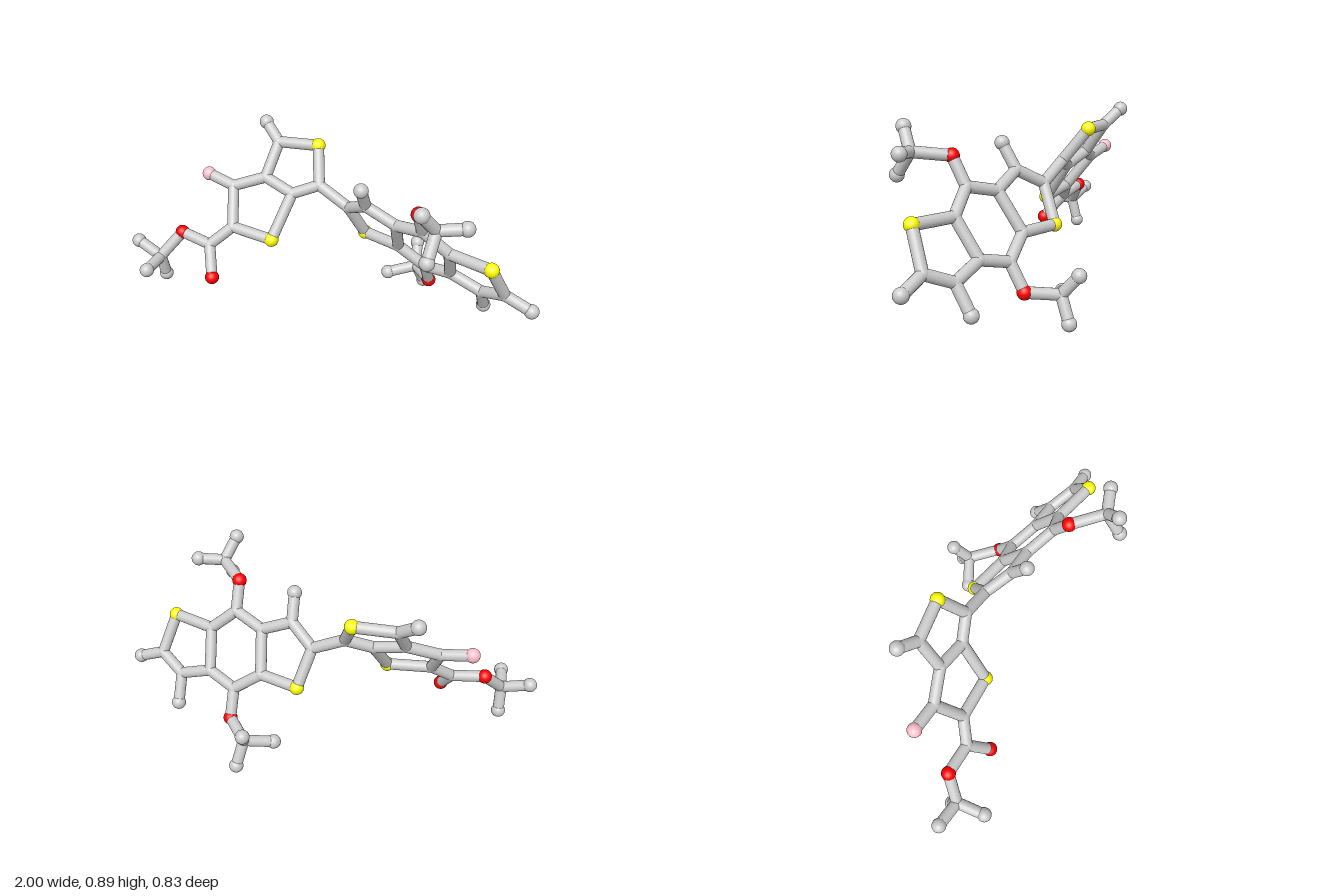
import * as THREE from 'three';

const BOND_R = 0.027, JOINT_R = 0.0285, BALL_R = 0.034;
const material = (color) => new THREE.MeshStandardMaterial({ color });
const GREY = material(0xcccccc);
const MATERIALS = { S: material(0xffff00), O: material(0xff0000), F: material(0xffc0cb) };

// The two fused ring systems are flat: depth follows from x and y
const planeA = (x, y) => -0.21 - 0.734 * (y - 0.795);
const planeB = (x, y) => -0.437 + 0.345 * x + 0.613 * y;
const flat = (plane, x, y) => [x, y, plane(x, y)];
const a = (x, y) => flat(planeA, x, y);
const b = (x, y) => flat(planeB, x, y);

// Each unit: named atoms (first letter gives the kind) and chains of bonded atoms
const UNITS = {
  twoRingUnit: {
    atoms: {
      C1: a(-0.53, 0.58), C2: a(-0.49, 0.42), S1: a(-0.28, 0.4), C3: a(-0.225, 0.59),
      C4: a(-0.375, 0.635), C5: a(-0.345, 0.78), S2: a(-0.145, 0.79), C6: a(-0.1, 0.64),
      F1: a(-0.67, 0.61), H1: a(-0.43, 0.85),
    },
    chains: ['F1 C1 C2 S1 C3 C4 C1', 'C4 C5 S2 C6 C3', 'C5 H1'],
  },
  esterArm: {
    atoms: {
      C7: a(-0.59, 0.335), O1: [-0.54, 0.213, 0.222], O2: [-0.745, 0.363, 0.11],
      C8: [-0.835, 0.25, 0.19], H2: [-0.966, 0.298, 0.165],
      H3: [-0.835, 0.128, 0.158], H4: [-0.833, 0.253, 0.328],
    },
    chains: ['C2 C7 O1', 'C7 O2 C8 H2', 'H3 C8 H4'],
  },
  threeRingUnit: {
    atoms: {
      C9: b(0.055, 0.56), C10: b(0.165, 0.635), C11: b(0.315, 0.57), C12: b(0.3, 0.39),
      S3: b(0.113, 0.388), C13: b(0.455, 0.61), C14: b(0.58, 0.51), C15: b(0.57, 0.335),
      C16: b(0.435, 0.297), S4: b(0.78, 0.517), C17: b(0.84, 0.342), C18: b(0.725, 0.282),
      H5: b(0.165, 0.752), H6: b(0.966, 0.293), H7: b(0.73, 0.155),
    },
    chains: ['C6 C9 C10 C11 C12 S3 C9', 'C11 C13 C14 C15 C16 C12', 'C14 S4 C17 C18 C15',
      'C10 H5', 'C17 H6', 'C18 H7'],
  },
  upperArm: {
    atoms: {
      O3: [0.45, 0.737, 0.165], C19: [0.56, 0.76, 0.303], H8: [0.51, 0.857, 0.368],
      H9: [0.68, 0.774, 0.27], H10: [0.548, 0.65, 0.385],
    },
    chains: ['C13 O3 C19 H8', 'H9 C19 H10'],
  },
  lowerArm: {
    atoms: {
      O4: [0.44, 0.172, -0.178], C20: [0.343, 0.152, -0.305], H11: [0.325, 0.243, -0.381],
      H12: [0.212, 0.117, -0.25], H13: [0.372, 0.036, -0.358],
    },
    chains: ['C16 O4 C20 H11', 'H12 C20 H13'],
  },
};

const ballGeometry = new THREE.SphereGeometry(1, 24, 16);
const bondGeometry = new THREE.CylinderGeometry(BOND_R, BOND_R, 1, 20, 1, true);
const UP = new THREE.Vector3(0, 1, 0);

function makeAtom(id, position) {
  const kind = id[0];
  const ball = new THREE.Mesh(ballGeometry, MATERIALS[kind] ?? GREY);
  ball.name = { S: 'yellowBall', O: 'redBall', F: 'pinkBall', H: 'endBall', C: 'joint' }[kind];
  ball.scale.setScalar(kind === 'C' ? JOINT_R : BALL_R);
  ball.position.copy(position);
  return ball;
}

function makeBond(from, to) {
  const bond = new THREE.Mesh(bondGeometry, GREY);
  const span = to.clone().sub(from);
  bond.name = 'rod';
  bond.scale.y = span.length();
  bond.quaternion.setFromUnitVectors(UP, span.normalize());
  bond.position.copy(from).add(to).multiplyScalar(0.5);
  return bond;
}

export function createModel() {
  const model = new THREE.Group();
  model.name = 'ballAndStickModel';
  const points = {};
  for (const [name, unit] of Object.entries(UNITS)) {
    const group = new THREE.Group();
    group.name = name;
    // Balls and joints
    for (const [id, p] of Object.entries(unit.atoms)) {
      points[id] = new THREE.Vector3(...p);
      group.add(makeAtom(id, points[id]));
    }
    // Rods along each chain
    for (const chain of unit.chains) {
      const ids = chain.split(' ');
      for (let i = 1; i < ids.length; i++) group.add(makeBond(points[ids[i - 1]], points[ids[i]]));
    }
    model.add(group);
  }
  return model;
}
